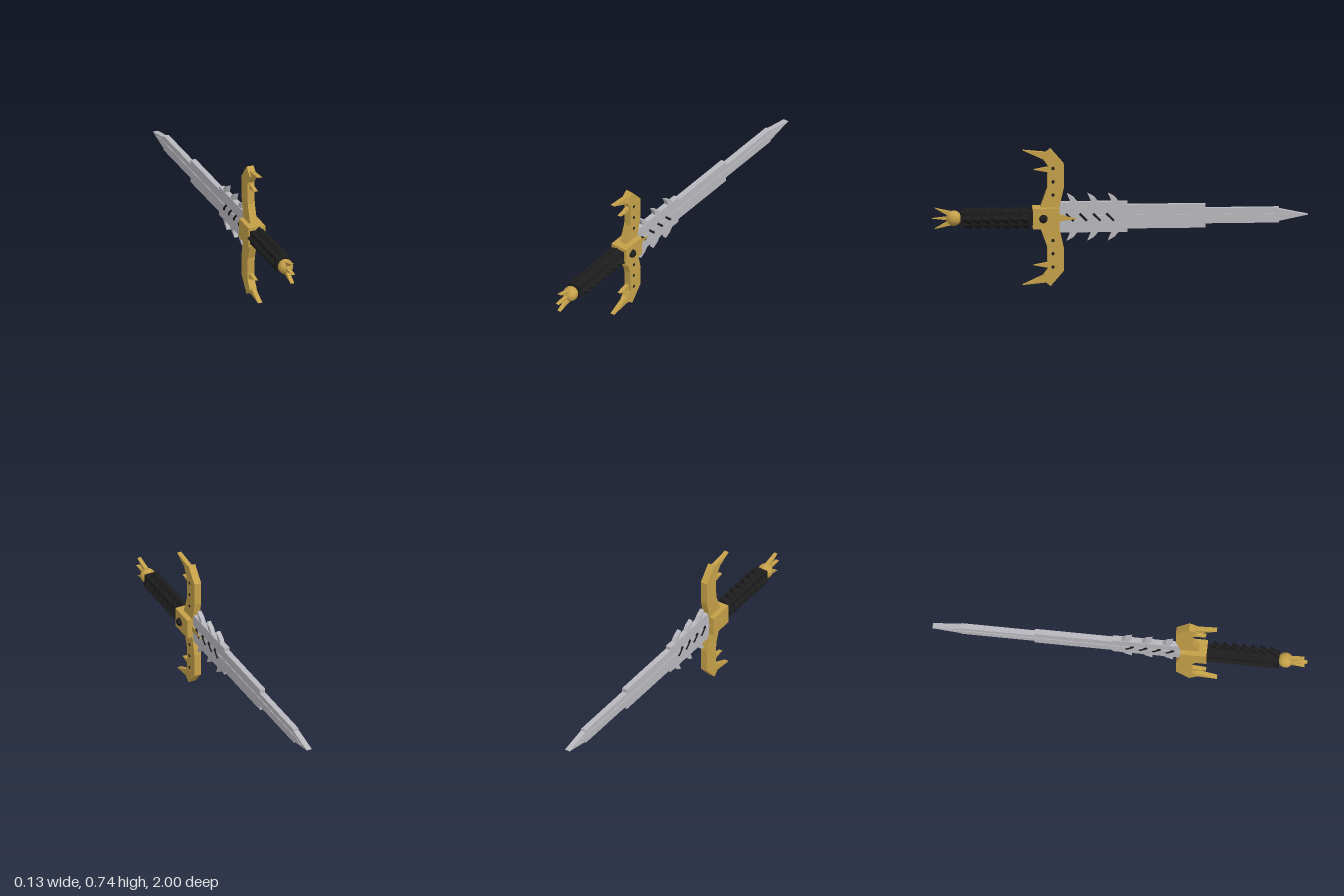
import * as THREE from 'three';

const CY = 0.372; // height of the sword's axis
const CX = -0.004; // centre of the flat parts

export function createModel() {
  const root = new THREE.Group();
  root.name = 'sword';

  const material = (name, color) => {
    const m = new THREE.MeshStandardMaterial({ color });
    m.name = name;
    return m;
  };
  const gold = material('gold', 0xc4a048);
  const steel = material('steel', 0xb8b7bd);
  const black = material('black', 0x1c1c1c);

  const add = (name, geometry, mat, x = 0, y = 0, z = 0) => {
    const mesh = new THREE.Mesh(geometry, mat);
    mesh.name = name;
    mesh.position.set(x, y, z);
    root.add(mesh);
    return mesh;
  };

  // Flat plate from a [z, height above axis] outline, centred on x = cx
  const plate = (name, points, width, mat, side = 1, cx = CX) => {
    const shape = new THREE.Shape(points.map(([z, y]) => new THREE.Vector2(z, y * side)));
    const g = new THREE.ExtrudeGeometry(shape, { depth: width, bevelEnabled: false });
    g.rotateY(-Math.PI / 2);
    return add(name, g, mat, cx + width / 2, CY, 0);
  };

  // Stepped blade with pointed tip
  const upper = [
    [0.33, 0.082], [-0.04, 0.082], [-0.04, 0.064], [-0.455, 0.064],
    [-0.455, 0.041], [-0.845, 0.041], [-0.845, 0.032],
  ];
  const lower = upper.map(([z, y]) => [z, -y]).reverse();
  plate('blade', [...upper, [-1, 0], ...lower], 0.03, steel);
  plate('bladeRidge', [[0.33, 0.01], [-0.87, 0.01], [-0.94, 0], [-0.87, -0.01], [0.33, -0.01]], 0.037, steel);

  // Swept barbs on both blade edges
  for (const side of [1, -1]) {
    for (const z of [0.283, 0.173, 0.064]) {
      plate('bladeBarb', [[z, 0.128], [z - 0.022, 0.075], [z - 0.062, 0.075], [z - 0.035, 0.108]], 0.024, steel, side);
    }
  }

  // Slanted dark slots showing on both blade faces
  for (const z of [0.268, 0.196, 0.124, 0.053]) {
    const slot = add('bladeSlot', new THREE.BoxGeometry(0.042, 0.012, 0.055), black, CX, CY, z);
    slot.rotation.x = -Math.PI / 4;
  }
  plate('bladeRootSpike', [[0.33, 0.02], [0.225, -0.008], [0.33, -0.02]], 0.012, gold, 1, 0.012);

  // Crossguard: block, curved arms, claws and beads
  add('guardBlock', new THREE.BoxGeometry(0.096, 0.111, 0.14), gold, -0.002, CY, 0.395);
  for (const side of [1, -1]) {
    plate('guardArm', [
      [0.43, 0.04], [0.388, 0.157], [0.385, 0.283], [0.42, 0.33],
      [0.37, 0.371], [0.3, 0.29], [0.3, 0.16], [0.327, 0.04],
    ], 0.04, gold, side);
    plate('guardClaw', [[0.518, 0.365], [0.385, 0.352], [0.408, 0.315], [0.432, 0.325]], 0.025, gold, side);
    plate('guardThorn', [[0.46, 0.259], [0.37, 0.276], [0.37, 0.245], [0.4, 0.247]], 0.021, gold, side);
    for (const y of [0.123, 0.195, 0.268]) {
      add('guardBead', new THREE.SphereGeometry(0.011, 10, 8), black, 0.01, CY + side * y, 0.357);
    }
  }
  add('guardGem', new THREE.SphereGeometry(0.023, 12, 10), black, 0.045, CY, 0.41);

  // Grip: square core wrapped in tilted four-sided rings
  add('gripCore', new THREE.BoxGeometry(0.074, 0.074, 0.39), black, CX, CY, 0.655);
  for (let i = 0; i < 7; i++) {
    const g = new THREE.CylinderGeometry(0.047, 0.065, 0.05, 4, 1).toNonIndexed();
    g.computeVertexNormals();
    g.rotateX(Math.PI / 2);
    const ring = add('gripRing', g, black, -0.002, CY, 0.51 + i * 0.05);
    ring.rotation.y = -0.2;
  }

  // Pommel ball with a fan of spikes
  add('pommel', new THREE.SphereGeometry(0.041, 16, 10), gold, CX, CY, 0.884);
  plate('pommelSpike', [[1, 0], [0.9, 0.011], [0.9, -0.011]], 0.02, gold);
  for (const side of [1, -1]) {
    plate('pommelSpike', [[0.985, 0.056], [0.895, 0.036], [0.91, 0.012]], 0.021, gold, side);
  }
  return root;
}
